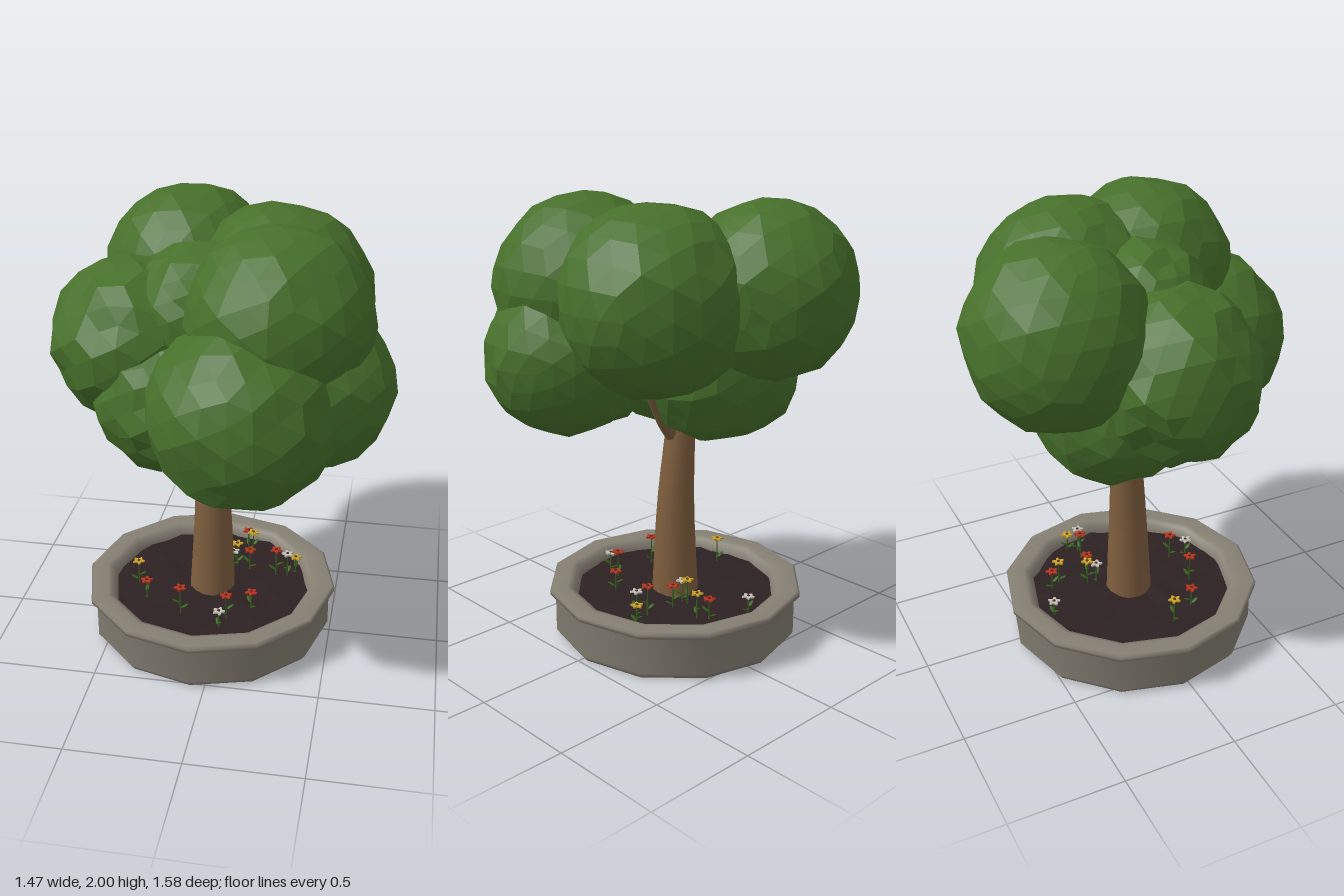
import * as THREE from 'three';

const mat = (name, color) => {
  const m = new THREE.MeshStandardMaterial({ color });
  m.name = name;
  return m;
};

export function createModel() {
  const leafGreen = mat('leaf green', 0x47702b);
  leafGreen.flatShading = true;
  const bark = mat('bark brown', 0x80603f);
  const concrete = mat('concrete grey', 0x857f73);
  const earth = mat('dark soil', 0x2d2122);
  const stemGreen = mat('stem green', 0x37601f);
  const red = mat('petal red', 0xb8321f);
  const yellow = mat('petal yellow', 0xc9a224);
  const white = mat('petal white', 0xc4beba);
  const brown = mat('flower centre brown', 0x4a2c14);

  const model = new THREE.Group();
  model.name = 'pottedTree';
  const add = (parent, name, geometry, material, x = 0, y = 0, z = 0) => {
    const mesh = new THREE.Mesh(geometry, material);
    mesh.name = name;
    mesh.position.set(x, y, z);
    parent.add(mesh);
    return mesh;
  };
  const CX = -0.065, CZ = -0.025, SOIL = 0.182;

  // Twelve-sided planter with a rounded overhanging rim
  const profile = [
    [0, 0], [0.535, 0], [0.554, 0.028], [0.554, 0.188], [0.578, 0.204],
    [0.58, 0.222], [0.568, 0.231], [0.5, 0.231], [0.475, 0.222], [0.455, 0.19], [0.45, 0.14],
  ].map(([r, y]) => new THREE.Vector2(r, y));
  add(model, 'planter', new THREE.LatheGeometry(profile, 12), concrete, CX, 0, CZ);

  // Uneven soil, its edge sinking into the planter wall
  const soil = new THREE.RingGeometry(0.001, 0.465, 36, 6).rotateX(-Math.PI / 2);
  const sp = soil.attributes.position;
  for (let i = 0; i < sp.count; i++) {
    const x = sp.getX(i), z = sp.getZ(i);
    sp.setY(i, SOIL + 0.009 * Math.sin(x * 23 + z * 9) * Math.cos(z * 27 - x * 6));
  }
  soil.computeVertexNormals();
  add(model, 'soil', soil, earth, CX, 0, CZ);

  // Tube whose radius changes along its path
  const taperedTube = (points, r0, r1, sides) => {
    const steps = 10;
    const curve = new THREE.CatmullRomCurve3(points.map((p) => new THREE.Vector3(...p)));
    const g = new THREE.TubeGeometry(curve, steps, 1, sides);
    const p = g.attributes.position, v = new THREE.Vector3();
    for (let i = 0; i < p.count; i++) {
      const t = Math.floor(i / (sides + 1)) / steps;
      const c = curve.getPointAt(t);
      v.fromBufferAttribute(p, i).sub(c).multiplyScalar(r0 + (r1 - r0) * t).add(c);
      p.setXYZ(i, v.x, v.y, v.z);
    }
    return g;
  };
  add(model, 'trunk', taperedTube(
    [[-0.06, 0.15, -0.03], [-0.057, 0.6, -0.035], [-0.072, 0.95, -0.048], [-0.1, 1.35, -0.06]], 0.107, 0.045, 14), bark);
  const branches = [
    [[-0.06, 0.9, -0.035], [0.03, 1.0, -0.055], [0.2, 1.25, -0.11]],
    [[-0.08, 1.05, -0.05], [0.0, 1.15, 0.08], [0.1, 1.3, 0.3]],
    [[-0.08, 1.1, -0.05], [-0.15, 1.25, -0.15], [-0.2, 1.5, -0.35]],
  ];
  for (const b of branches) add(model, 'branch', taperedTube(b, 0.038, 0.022, 8), bark);

  // Repeatable value from 0 to 1 for a point, the same at shared corners
  const hash = (v, k) => {
    const n = Math.sin(Math.round(v.x * 500) * 12.9898 + Math.round(v.y * 500) * 78.233
      + Math.round(v.z * 500) * 37.719 + k * 4.7) * 43758.5453;
    return n - Math.floor(n);
  };

  // Foliage clumps: x, y, z, radius, roughness
  const crown = new THREE.Group();
  crown.name = 'crown';
  model.add(crown);
  const clumps = [
    [0.14, 1.29, 0.4, 0.388, 0.03], [0.26, 1.61, 0.19, 0.387, 0.025], [0.22, 1.58, -0.18, 0.4, 0.025],
    [-0.22, 1.6, -0.41, 0.38, 0.025], [-0.37, 1.41, 0.015, 0.363, 0.05], [-0.185, 1.265, -0.16, 0.36, 0.04],
    [-0.21, 1.235, 0.16, 0.315, 0.05], [0.4, 1.325, 0.17, 0.335, 0.035], [-0.09, 1.57, 0.02, 0.295, 0.06],
  ];
  clumps.forEach(([x, y, z, r, rough], k) => {
    const g = new THREE.IcosahedronGeometry(1, 3);
    const p = g.attributes.position, v = new THREE.Vector3();
    for (let i = 0; i < p.count; i++) {
      v.fromBufferAttribute(p, i);
      const wave = Math.sin(v.x * 5 + k * 2.1) * Math.sin(v.y * 6 + k) * Math.sin(v.z * 5.5 + k * 1.3);
      v.multiplyScalar(r * (1 + rough * (wave + 1.6 * (hash(v, k) - 0.5))));
      p.setXYZ(i, v.x, v.y, v.z);
    }
    g.computeVertexNormals();
    add(crown, 'foliageClump', g, leafGreen, x, y, z);
  });

  // Five-petalled flower head outline
  const outline = [];
  for (let i = 0; i < 30; i++) {
    const a = (i / 30) * Math.PI * 2, r = 0.022 + 0.007 * Math.cos(5 * a);
    outline.push(new THREE.Vector2(r * Math.cos(a), r * Math.sin(a)));
  }
  const petals = new THREE.ExtrudeGeometry(new THREE.Shape(outline), { depth: 0.007, bevelEnabled: false }).rotateX(-Math.PI / 2);
  const heart = new THREE.CylinderGeometry(0.006, 0.008, 0.006, 6);
  const leaf = new THREE.SphereGeometry(1, 6, 4).scale(0.022, 0.003, 0.01);

  // Flowers: x, head height, z, petal colour
  const flowers = [
    [-0.4, 0.3, 0.03, yellow], [-0.335, 0.28, 0.15, red], [-0.16, 0.315, 0.235, red],
    [0.03, 0.265, 0.315, white], [0.05, 0.3, 0.24, red], [0.15, 0.265, 0.145, red],
    [0.03, 0.3, -0.2, yellow], [0.02, 0.28, -0.16, white], [0.09, 0.295, -0.32, yellow],
    [0.095, 0.285, -0.175, red], [0.28, 0.305, -0.14, white], [0.225, 0.315, -0.15, red],
    [0.315, 0.265, -0.18, yellow], [-0.12, 0.25, -0.43, white], [0.06, 0.275, -0.365, red],
  ];
  flowers.forEach(([x, top, z, colour], k) => {
    const flower = new THREE.Group();
    flower.name = 'flower';
    flower.position.set(x, SOIL - 0.01, z);
    flower.rotation.y = k * 1.7;
    model.add(flower);
    const h = top - SOIL + 0.01;
    add(flower, 'stem', new THREE.CylinderGeometry(0.003, 0.004, h, 5), stemGreen, 0, h / 2, 0);
    add(flower, 'petals', petals, colour, 0, h, 0);
    add(flower, 'flowerCentre', heart, brown, 0, h + 0.008, 0);
    for (const s of [-1, 1]) {
      add(flower, 'leaf', leaf, stemGreen, s * 0.019, h * (0.42 + 0.1 * s), 0).rotation.z = s * 0.5;
    }
  });
  return model;
}
